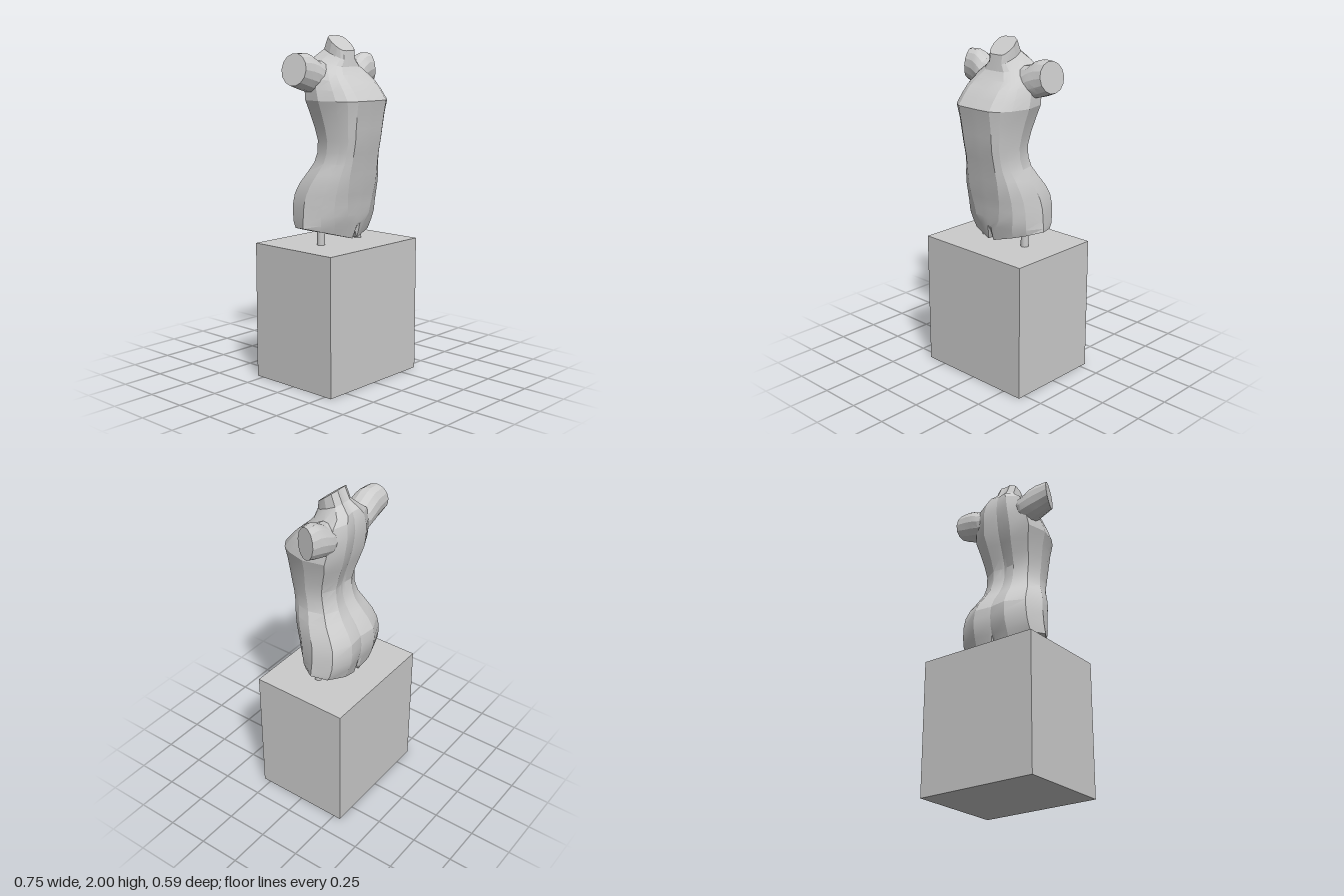
import * as THREE from 'three';
import { toCreasedNormals } from 'three/addons/utils/BufferGeometryUtils.js';

const material = new THREE.MeshStandardMaterial({ color: 0xcccccc });

// Skin a stack of equal closed rings and close both ends with strips.
function loft(rings) {
  const n = rings[0].length, h = n / 2, K = (h - 1) / 2;
  const index = [];
  const quad = (a, b, c, d) => index.push(a, b, c, a, c, d);
  for (let i = 0; i < rings.length - 1; i++) {
    for (let j = 0; j < n; j++) {
      const a = i * n + j, b = i * n + (j + 1) % n;
      quad(a, b, b + n, a + n);
    }
  }
  const last = (rings.length - 1) * n;
  for (let k = -K; k < K; k++) {
    const [a, b, c, d] = [k, k + 1, h - k - 1, h - k].map((v) => (v + n) % n);
    quad(d, c, b, a);
    quad(last + a, last + b, last + c, last + d);
  }
  const geo = new THREE.BufferGeometry();
  geo.setAttribute('position', new THREE.Float32BufferAttribute(rings.flat(2), 3));
  geo.setIndex(index);
  return toCreasedNormals(geo, 0.3);
}

// Torso levels: y at the back, half width, front z, back z, half width of front panel, drop toward the front
const LEVELS = [
  [0.93, 0.273, 0.162, -0.168, 0.06, 0],
  [0.98, 0.267, 0.172, -0.182, 0.09, 0],
  [1.04, 0.262, 0.178, -0.187, 0.1, 0],
  [1.10, 0.252, 0.188, -0.18, 0.11, 0],
  [1.16, 0.238, 0.2, -0.15, 0.115, 0],
  [1.22, 0.215, 0.208, -0.105, 0.115, 0],
  [1.28, 0.186, 0.218, -0.068, 0.11, 0],
  [1.34, 0.176, 0.228, -0.05, 0.107, 0],
  [1.41, 0.179, 0.242, -0.046, 0.108, 0],
  [1.48, 0.19, 0.25, -0.064, 0.112, 0],
  [1.56, 0.207, 0.26, -0.092, 0.115, 0],
  [1.635, 0.23, 0.273, -0.115, 0.118, 0],
  [1.71, 0.22, 0.235, -0.126, 0.115, 0.07],
  [1.78, 0.205, 0.19, -0.132, 0.112, 0.14],
  [1.85, 0.175, 0.14, -0.122, 0.1, 0.28],
  [1.885, 0.125, 0.105, -0.108, 0.07, 0.3],
  [1.93, 0.08, 0.098, -0.058, 0.046, 0.44],
  [2.0, 0.077, 0.09, -0.025, 0.045, 0.78],
];

// One closed cross-section, front centre round the left side to the back and on
function section([y, w, zf, zb, f, drop], heightAt) {
  const mix = (t) => f + (w - f) * t;
  const half = [
    [0, 1], [0.02, 1], [f, 0.99], [mix(0.46), 0.9], [mix(0.76), 0.75],
    [w, 0.47], [w * 0.87, 0.14], [w * 0.42, 0], [0.02, 0.025], [0, 0.04],
  ];
  const mirrored = half.slice(1, -1).reverse().map(([x, t]) => [-x, t]);
  return [...half, ...mirrored].map(([x, t]) => {
    const z = zb + (zf - zb) * t;
    return [x, heightAt ? heightAt(Math.abs(x)) : y - drop * (z - zb), z];
  });
}

function torso() {
  // Thigh cut rises outward, with a narrow gap between the legs
  const cut = (x) => (x < 0.01 ? 0.888 : 0.838 + (x - 0.02) * 0.28);
  const base = section([0, 0.275, 0.138, -0.145, 0.04, 0], cut);
  return loft([base, ...LEVELS.map((l) => section(l))]);
}

// Arm stump: rings along x, ending in a slanted cut
function arm(side) {
  const extra = side < 0 ? 0.015 : 0;
  // x, centre y, centre z, half height, half depth, slant
  const stations = [
    [0.09, 1.765, -0.02, 0.085, 0.075, 0],
    [0.165, 1.765, -0.02, 0.095, 0.09, 0],
    [0.215, 1.785, -0.022, 0.104, 0.084, 0.1],
    [0.255, 1.797, -0.023, 0.104, 0.076, 0.2],
    [0.312 + extra, 1.808, -0.024, 0.09, 0.07, 0.37],
  ];
  return loft(stations.map(([x, cy, cz, ry, rz, slant]) =>
    Array.from({ length: 14 }, (_, i) => {
      const a = (i / 14) * Math.PI * 2;
      const dz = rz * Math.cos(a), dy = -side * ry * Math.sin(a);
      return [side * (x - slant * dz - slant * 0.3 * dy), cy + dy, cz + dz];
    })));
}

export function createModel() {
  const model = new THREE.Group();
  const add = (name, geo, x = 0, y = 0, z = 0) => {
    const mesh = new THREE.Mesh(geo, material);
    mesh.name = name;
    mesh.position.set(x, y, z);
    model.add(mesh);
  };

  add('pedestal', new THREE.BoxGeometry(0.75, 0.805, 0.592), 0, 0.4025, 0);

  // Support rods and arm stumps
  for (const [side, label] of [[1, 'left'], [-1, 'right']]) {
    add(label + 'SupportRod', new THREE.CylinderGeometry(0.023, 0.023, 0.14, 16), side * 0.158, 0.86, 0.02);
    add(label + 'Arm', arm(side));
  }

  add('torso', torso());
  return model;
}
